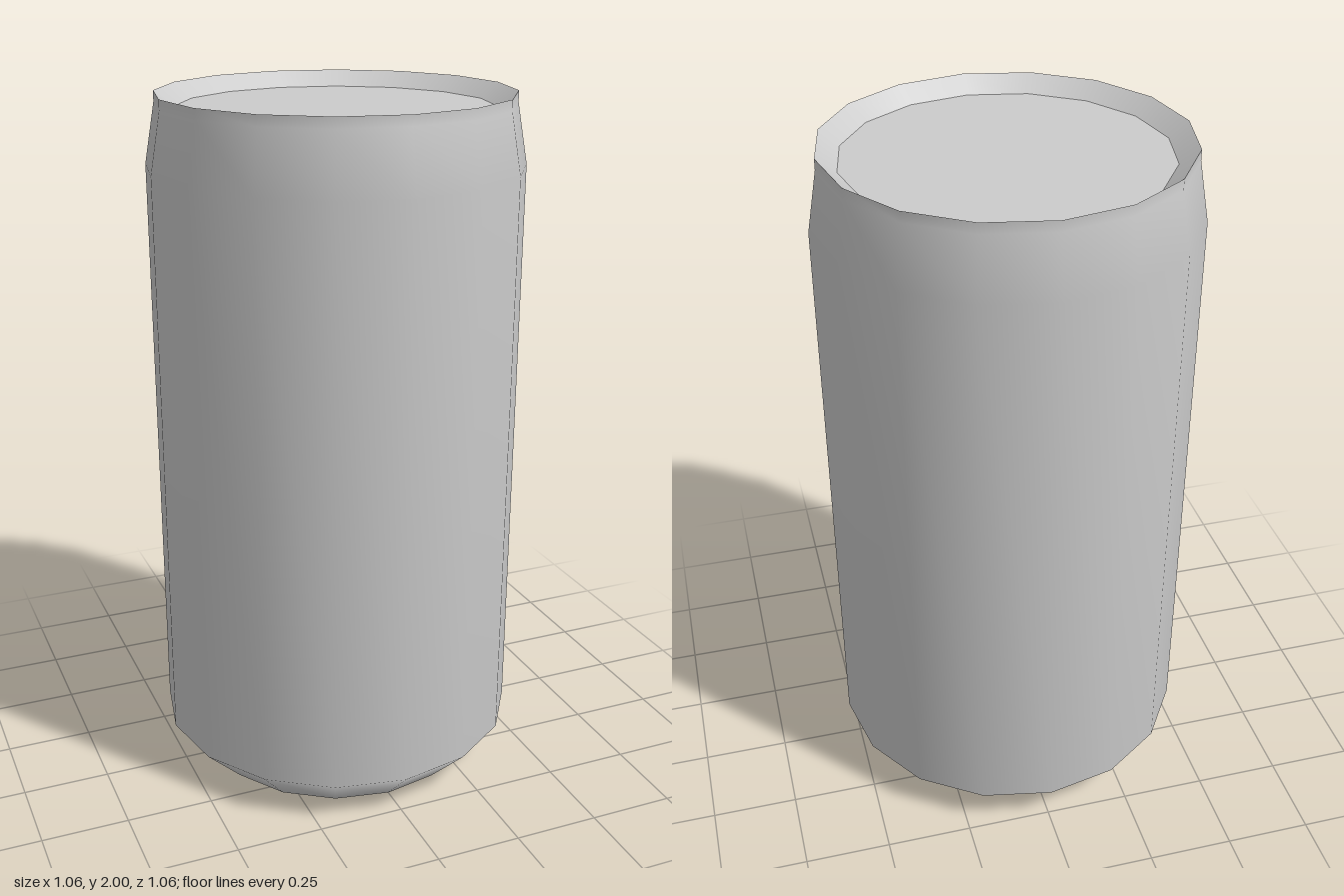
import * as THREE from 'three';

const SIDES = 16;
const RIM = 0.5, LID = 0.445, BASE = 0.41;
const LID_Y = 1.957;

export function createModel() {
  const can = new THREE.Group();
  can.name = 'can';
  const material = new THREE.MeshStandardMaterial({ color: 0xcccccc });

  const add = (name, geometry) => {
    const mesh = new THREE.Mesh(geometry, material);
    mesh.name = name;
    can.add(mesh);
    return mesh;
  };
  // Smooth surface of revolution from [radius, height] pairs
  const lathe = (...points) =>
    new THREE.LatheGeometry(points.map(([r, y]) => new THREE.Vector2(r, y)), SIDES);
  // Flat disc facing up (1) or down (-1)
  const disc = (radius, y, facing) =>
    new THREE.CircleGeometry(radius, SIDES).rotateX(-facing * Math.PI / 2).translate(0, y, 0);

  // Outer wall: bevelled foot, straight body, tapered shoulder and rim band
  add('body', lathe([BASE, 0], [0.53, 0.12], [0.53, 1.8], [RIM, 1.97], [RIM, 2]));

  // Sloping inside of the rim, down to the sunken lid
  add('innerRim', lathe([RIM, 2], [LID, LID_Y]));
  add('lid', disc(LID, LID_Y, 1));

  // Flat underside
  add('base', disc(BASE, 0, -1));

  return can;
}
